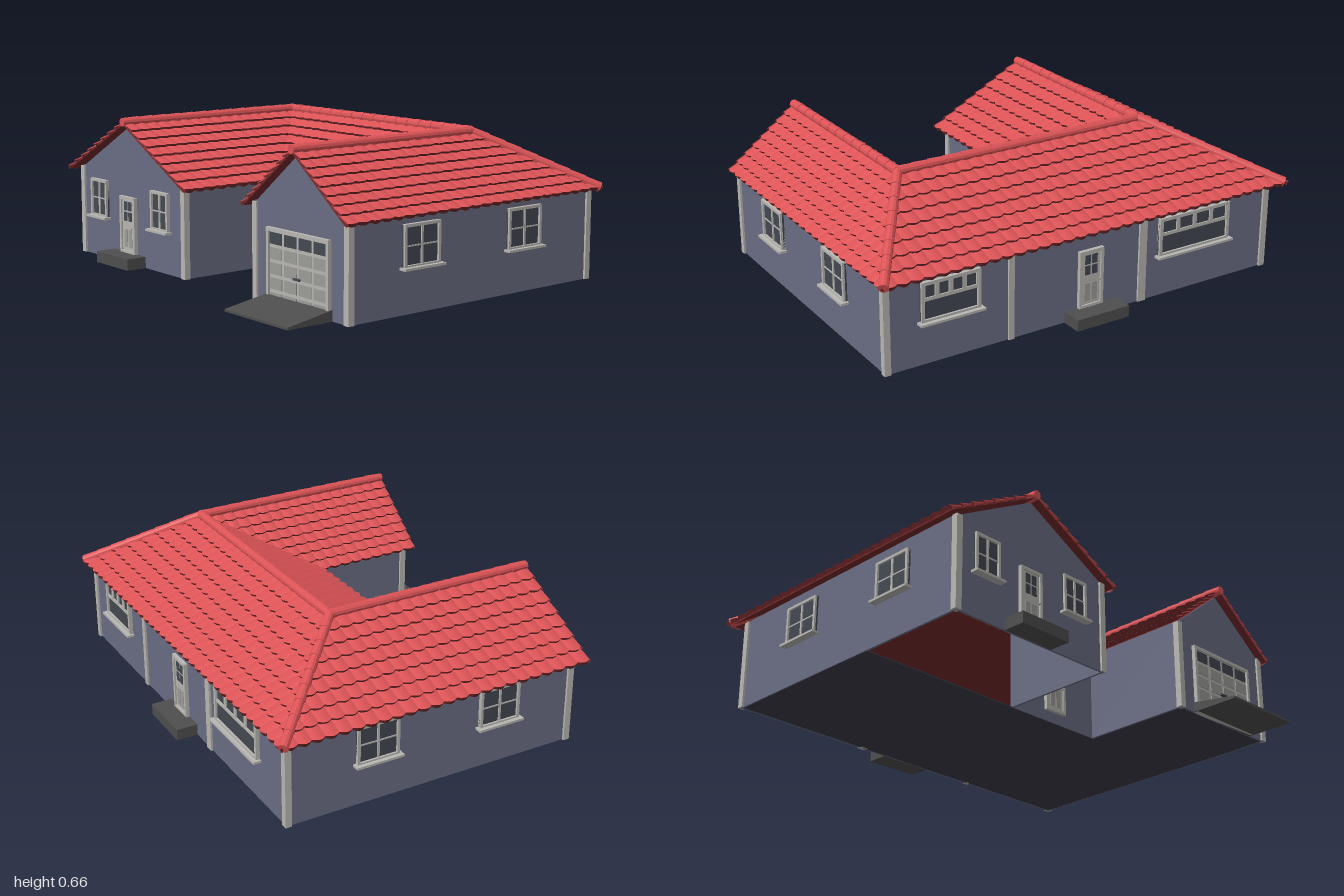
import * as THREE from 'three';

const mat = (color, extra = {}) => new THREE.MeshStandardMaterial({ color, ...extra });
const M = {
  wall: mat(0x6a6d84),
  trim: mat(0xb8b7b2),
  panel: mat(0x9d9c99),
  glass: mat(0x434851),
  stone: mat(0x4e4e4e),
  floor: mat(0x3c3c48),
  tile: mat(0xdc5356, { flatShading: true, side: THREE.DoubleSide }),
  tileEdge: mat(0x74292c, { flatShading: true, side: THREE.DoubleSide }),
};
const V = (x, y, z) => new THREE.Vector3(x, y, z);

function box(parent, name, m, w, h, d, x, y, z) {
  const mesh = new THREE.Mesh(new THREE.BoxGeometry(w, h, d), m);
  mesh.name = name;
  mesh.position.set(x, y, z);
  parent.add(mesh);
  return mesh;
}

// Rectangular frame facing +z, split by bars into cols x rows
function frame(g, w, h, y, cols, rows, t = 0.014, bar = 0.007) {
  for (const s of [-1, 1]) {
    box(g, 'frameSide', M.trim, t, h, 0.024, s * (w - t) / 2, y, 0.005);
    box(g, 'frameRail', M.trim, w, t, 0.024, 0, y + s * (h - t) / 2, 0.005);
  }
  for (let i = 1; i < cols; i++) box(g, 'mullion', M.trim, bar, h, 0.018, -w / 2 + (w * i) / cols, y, 0.004);
  for (let i = 1; i < rows; i++) box(g, 'glazingBar', M.trim, w, bar * 0.6, 0.014, 0, y - h / 2 + (h * i) / rows, 0.004);
}

function place(root, g, name, x, z, turn) {
  g.name = name;
  g.position.set(x, 0, z);
  g.rotation.y = turn;
  root.add(g);
}

// Sash window with sill
function sashWindow(w) {
  const g = new THREE.Group();
  box(g, 'glass', M.glass, w, 0.17, 0.012, 0, 0.269, 0.002);
  frame(g, w, 0.172, 0.269, 2, 2, 0.012, 0.01);
  box(g, 'sill', M.trim, w + 0.024, 0.01, 0.045, 0, 0.183, 0.012);
  return g;
}

// Wide window: a row of four small panes over one long pane
function wideWindow(w) {
  const g = new THREE.Group();
  box(g, 'glass', M.glass, w, 0.17, 0.012, 0, 0.269, 0.002);
  frame(g, w, 0.172, 0.269, 1, 1);
  box(g, 'transom', M.trim, w, 0.014, 0.02, 0, 0.281, 0.004);
  for (let i = 0; i <= 4; i++) box(g, 'upperMullion', M.trim, 0.018, 0.07, 0.02, (i / 4 - 0.5) * (w - 0.02), 0.318, 0.004);
  box(g, 'sill', M.trim, w + 0.024, 0.01, 0.045, 0, 0.183, 0.012);
  return g;
}

// House door with four glass lights, two lower panels and a knob
function door() {
  const g = new THREE.Group();
  box(g, 'doorLeaf', M.trim, 0.1, 0.25, 0.014, 0, 0.173, 0.003);
  frame(g, 0.118, 0.255, 0.175, 1, 1);
  for (const s of [-1, 1]) {
    for (const y of [0.213, 0.26]) box(g, 'doorLight', M.glass, 0.026, 0.04, 0.004, s * 0.017, y, 0.01);
    box(g, 'doorPanel', M.panel, 0.026, 0.08, 0.004, s * 0.017, 0.115, 0.01);
  }
  const knob = new THREE.Mesh(new THREE.SphereGeometry(0.005, 10, 8), M.panel);
  knob.name = 'knob';
  knob.position.set(0.04, 0.165, 0.016);
  g.add(knob);
  return g;
}

// Sectional garage door with a glazed top row
function garageDoor(w, h) {
  const g = new THREE.Group();
  const rows = 5, cols = 4;
  box(g, 'garageLeaf', M.trim, w, h, 0.012, 0, h / 2, 0.002);
  frame(g, w + 0.02, h + 0.012, h / 2 + 0.006, 1, 1);
  for (let r = 0; r < rows; r++) for (let c = 0; c < cols; c++)
    box(g, r === rows - 1 ? 'garageLight' : 'garagePanel', r === rows - 1 ? M.glass : M.panel,
      w / cols - 0.016, h / rows - 0.014, 0.005, ((c + 0.5) / cols - 0.5) * w, ((r + 0.5) * h) / rows, 0.009);
  box(g, 'garageHandle', M.glass, 0.04, 0.008, 0.012, 0, 0.13, 0.014);
  return g;
}

function meshFrom(points, m, name) {
  const geo = new THREE.BufferGeometry().setFromPoints(points);
  geo.computeVertexNormals();
  const mesh = new THREE.Mesh(geo, m);
  mesh.name = name;
  return mesh;
}

// One roof plane between eave e0-e1 and ridge r0-r1, laid with courses of round-ended tiles
function roofSlope(e0, e1, r0, r1) {
  const g = new THREE.Group();
  const d = e1.clone().sub(e0), L = d.length();
  d.normalize();
  const a0 = r0.clone().sub(e0).dot(d), a1 = r1.clone().sub(e0).dot(d);
  const up = r0.clone().sub(e0).addScaledVector(d, -a0);
  const n = d.clone().cross(up).normalize();
  const courses = 8, sub = 6, pitch = L / Math.max(1, Math.round(L / 0.058));
  const at = (s, t, lift) => {
    const c = THREE.MathUtils.clamp(s, t * a0, L + t * (a1 - L));
    return e0.clone().addScaledVector(d, c).addScaledVector(up, t).addScaledVector(n, lift);
  };
  const tiles = [], edges = [];
  const quad = (list, a, b, c, e) => list.push(a, b, c, a, c, e);
  const first = Math.floor((Math.min(0, a0) / pitch) * sub) - sub;
  const last = Math.ceil((Math.max(L, a1) / pitch) * sub) + sub;
  const row = (j, i) => {
    const s = (j * pitch) / sub, b = Math.sin((Math.PI * (((j % sub) + sub) % sub)) / sub);
    const low = (i - 0.2 * b) / courses, high = Math.min(1, (i + 1.05) / courses);
    return [at(s, low, 0.013 + 0.006 * b), at(s, high, 0.001 + 0.005 * b), at(s, low, -0.001)];
  };
  for (let i = 0; i < courses; i++) for (let j = first; j < last; j++) {
    const p = row(j, i), q = row(j + 1, i);
    if (p[0].distanceTo(q[0]) < 0.013 && p[1].distanceTo(q[1]) < 1e-6 && Math.abs(p[0].clone().sub(q[0]).dot(d)) < 1e-6) continue;
    quad(tiles, p[0], q[0], q[1], p[1]);
    quad(edges, p[2], q[2], q[0], p[0]);
  }
  g.add(meshFrom(tiles, M.tile, 'roofTiles'), meshFrom(edges, M.tileEdge, 'tileEdges'));
  const under = [e0, e1, r1, r0].map((p) => p.clone().addScaledVector(n, -0.004));
  const deck = [];
  quad(deck, ...under);
  g.add(meshFrom(deck, M.tileEdge, 'roofDeck'));
  g.name = 'roofSlope';
  return g;
}

// Row of overlapping round cap tiles from a to b
function ridgeCaps(root, a, b) {
  const dir = b.clone().sub(a), count = Math.round(dir.length() / 0.075);
  for (let i = 0; i < count; i++) {
    const cap = new THREE.Mesh(new THREE.CylinderGeometry(0.019, 0.022, (dir.length() / count) * 1.12, 12), M.tile);
    cap.name = 'ridgeCap';
    cap.position.copy(a).addScaledVector(dir, (i + 0.5) / count);
    cap.quaternion.setFromUnitVectors(V(0, 1, 0), dir.clone().normalize().negate());
    root.add(cap);
  }
}

// Extrude a z-y outline along x, starting at x
function sideProfile(root, name, m, pts, x, depth) {
  const shape = new THREE.Shape(pts.map(([z, y]) => new THREE.Vector2(-z, y)));
  const mesh = new THREE.Mesh(new THREE.ExtrudeGeometry(shape, { depth, bevelEnabled: false }), m);
  mesh.name = name;
  mesh.rotation.y = Math.PI / 2;
  mesh.position.x = x;
  root.add(mesh);
}

export function createModel() {
  const root = new THREE.Group();
  root.name = 'house';
  const H = Math.PI / 2;

  // Walls around the U-shaped plan
  const plan = [[-0.6, -0.92], [0.72, -0.92], [0.72, 0.94], [-0.6, 0.94], [-0.6, 0.38], [-0.09, 0.38], [-0.09, -0.12], [-0.6, -0.12]];
  plan.forEach(([x0, z0], i) => {
    const [x1, z1] = plan[(i + 1) % plan.length];
    box(root, 'wall', M.wall, Math.abs(x1 - x0) + 0.01, 0.405, Math.abs(z1 - z0) + 0.01, (x0 + x1) / 2, 0.2025, (z0 + z1) / 2);
  });
  sideProfile(root, 'backGable', M.wall, [[-0.92, 0.4], [-0.12, 0.4], [-0.53, 0.615]], -0.605, 0.01);
  sideProfile(root, 'frontGable', M.wall, [[0.38, 0.4], [0.94, 0.4], [0.65, 0.615]], -0.605, 0.01);

  // Floor of the main block and the garage wing
  box(root, 'mainFloor', M.floor, 0.81, 0.006, 1.86, 0.315, 0.003, 0.01);
  box(root, 'garageFloor', M.floor, 0.51, 0.006, 0.56, -0.345, 0.003, 0.66);

  // Corner and wall posts
  for (const [x, z, w] of [[-0.6, -0.92, 0.03], [0.72, -0.92, 0.03], [0.72, 0.94, 0.028], [-0.6, 0.94, 0.028],
    [-0.6, 0.38, 0.028], [-0.6, -0.12, 0.028], [0.72, 0.382, 0.026], [0.72, -0.262, 0.038]])
    box(root, 'post', M.trim, 0.028, 0.4, w, x, 0.2, z);

  // Windows and doors
  for (const x of [-0.245, 0.325]) {
    place(root, sashWindow(0.19), 'frontWindow', x, 0.945, 0);
    place(root, sashWindow(0.19), 'backWindow', x, -0.925, Math.PI);
  }
  for (const z of [-0.775, -0.29]) place(root, sashWindow(0.13), 'gableWindow', -0.605, z, -H);
  place(root, wideWindow(0.265), 'wideWindow', 0.725, 0.66, H);
  place(root, wideWindow(0.37), 'wideWindow', 0.725, -0.527, H);
  place(root, door(), 'mainDoor', 0.725, 0.002, H);
  place(root, door(), 'gableDoor', -0.605, -0.54, -H);
  place(root, door(), 'courtyardDoor', -0.095, 0.13, -H);
  place(root, garageDoor(0.36, 0.3), 'garageDoor', -0.605, 0.655, -H);

  // Door steps and garage ramp
  box(root, 'mainStep', M.stone, 0.1, 0.05, 0.255, 0.77, 0.025, -0.005);
  box(root, 'gableStep', M.stone, 0.1, 0.05, 0.25, -0.65, 0.025, -0.545);
  const ramp = new THREE.Mesh(new THREE.ExtrudeGeometry(
    new THREE.Shape([[-0.82, 0], [-0.6, 0], [-0.6, 0.045], [-0.82, 0.01]].map(([x, y]) => new THREE.Vector2(x, y))),
    { depth: 0.39, bevelEnabled: false }), M.stone);
  ramp.name = 'garageRamp';
  ramp.position.z = 0.46;
  root.add(ramp);

  // Roof: hipped main block with a gabled wing at each end
  const E = 0.385, R = 0.628, W = -0.64;
  const backRidge = V(W, R, -0.53), frontRidge = V(W, R, 0.65), hubB = V(0.31, R, -0.53), hubF = V(0.31, R, 0.65);
  const cornerB = V(0.765, E, -0.985), cornerF = V(0.765, E, 0.965), valleyB = V(-0.13, E, -0.075), valleyF = V(-0.13, E, 0.34);
  root.add(
    roofSlope(cornerB, V(W, E, -0.985), hubB, backRidge),
    roofSlope(V(W, E, -0.075), valleyB, backRidge, hubB),
    roofSlope(valleyF, V(W, E, 0.34), hubF, frontRidge),
    roofSlope(V(W, E, 0.965), cornerF, frontRidge, hubF),
    roofSlope(cornerF, cornerB, hubF, hubB),
    roofSlope(valleyB, valleyF, hubB, hubF),
  );
  const lift = V(0, 0.008, 0);
  for (const [a, b] of [[backRidge, hubB], [frontRidge, hubF], [hubB, hubF], [hubB, cornerB], [hubF, cornerF]])
    ridgeCaps(root, a.clone().add(lift), b.clone().add(lift));
  return root;
}
